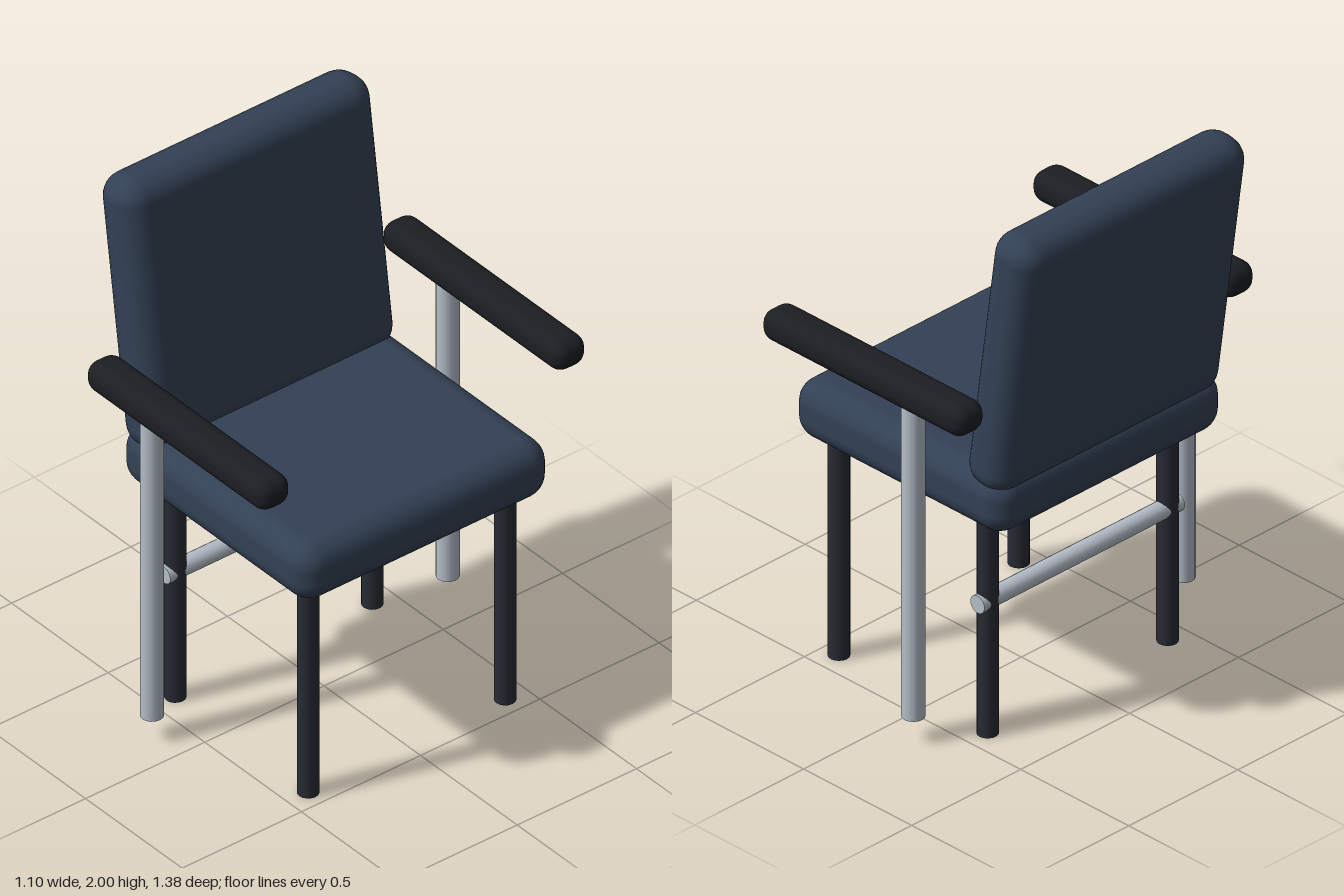
import * as THREE from 'three';
import { RoundedBoxGeometry } from 'three/addons/geometries/RoundedBoxGeometry.js';

const fabric = new THREE.MeshStandardMaterial({ color: 0x334155 });
const armBlack = new THREE.MeshStandardMaterial({ color: 0x1c1e23 });
const legBlack = new THREE.MeshStandardMaterial({ color: 0x272b33 });
const steel = new THREE.MeshStandardMaterial({ color: 0xb4bec8 });

export function createModel() {
  const chair = new THREE.Group();
  chair.name = 'armchair';

  const add = (name, geometry, material, x, y, z) => {
    const mesh = new THREE.Mesh(geometry, material);
    mesh.name = name;
    mesh.position.set(x, y, z);
    chair.add(mesh);
    return mesh;
  };
  const cushion = (w, h, d, r) => new RoundedBoxGeometry(w, h, d, 3, r);
  const rod = (r, length) => new THREE.CylinderGeometry(r, r, length, 16);

  // Upholstered seat and reclined backrest
  add('seat', cushion(0.98, 0.22, 1.05, 0.085), fabric, 0.06, 0.94, 0);
  const back = add('backrest', cushion(0.195, 1.02, 1.05, 0.085), fabric, -0.395, 1.49, 0);
  back.rotation.z = 0.14;

  // Armrests, their posts and the legs, mirrored on both sides
  for (const [side, s] of [['Right', 1], ['Left', -1]]) {
    add('armrest' + side, cushion(0.935, 0.115, 0.135, 0.05), armBlack, 0.062, 1.332, s * 0.62);
    add('armPost' + side, rod(0.04, 1.2), steel, -0.125, 0.695, s * 0.62);
    add('frontLeg' + side, rod(0.037, 0.86), legBlack, 0.428, 0.43, s * 0.413);
    add('backLeg' + side, rod(0.037, 0.86), legBlack, -0.26, 0.43, s * 0.413);
  }

  // Stretcher bar running through the back legs
  const bar = add('stretcher', rod(0.033, 0.92), steel, -0.26, 0.508, 0);
  bar.rotation.x = Math.PI / 2;

  return chair;
}
